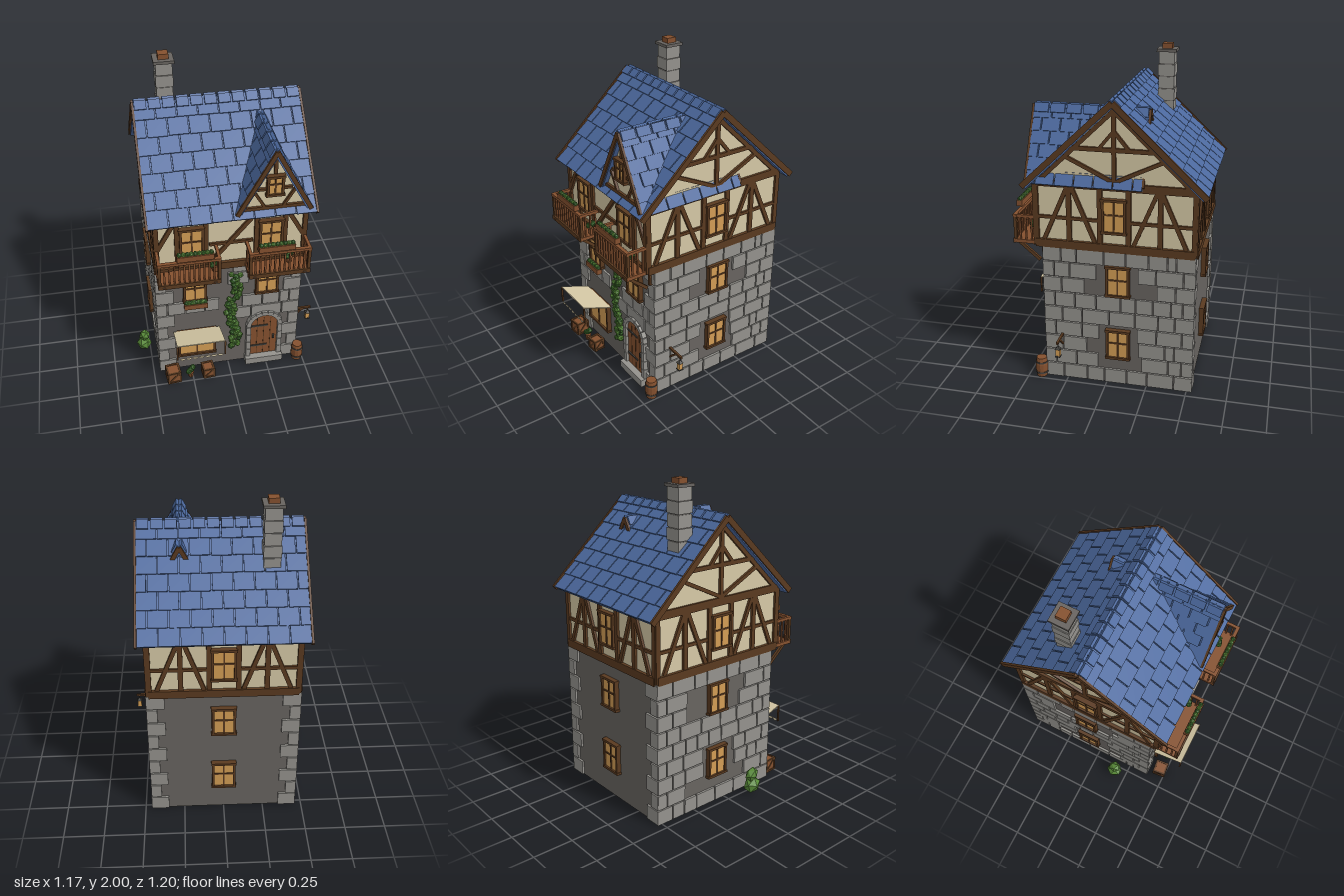
import * as THREE from 'three';

const mat = (name, color) => Object.assign(new THREE.MeshStandardMaterial({ color, flatShading: true }), { name });
const stone = mat('stone', 0x94928d), mortar = mat('mortar', 0x686460), plaster = mat('plaster', 0xd6c9a6);
const timber = mat('timber', 0x5a3a20), wood = mat('wood', 0x85512f), tile = mat('roof tile', 0x4c699e);
const glass = mat('lit glass', 0xd39d55), leaf = mat('leaf', 0x588a38), darkLeaf = mat('dark leaf', 0x3c6a2c);
const iron = mat('iron', 0x45433f);

let seed = 7;
const rand = () => (seed = (seed * 16807) % 2147483647) / 2147483647;

function add(p, name, geo, m, x = 0, y = 0, z = 0, rx = 0, ry = 0, rz = 0) {
  const o = new THREE.Mesh(geo, m);
  o.name = name;
  o.position.set(x, y, z);
  o.rotation.set(rx, ry, rz);
  p.add(o);
  return o;
}
const box = (p, name, m, w, h, d, x, y, z, rx, ry, rz) => add(p, name, new THREE.BoxGeometry(w, h, d), m, x, y, z, rx, ry, rz);
function group(p, name, x = 0, y = 0, z = 0, ry = 0) {
  const g = new THREE.Group();
  g.name = name;
  g.position.set(x, y, z);
  g.rotation.y = ry;
  p.add(g);
  return g;
}
// Straight timber between two points of a wall plane
function beam(p, x1, y1, x2, y2, t = 0.025, d = 0.03, z = 0, m = timber) {
  return box(p, 'beam', m, Math.hypot(x2 - x1, y2 - y1), t, d, (x1 + x2) / 2, (y1 + y2) / 2, z, 0, 0, Math.atan2(y2 - y1, x2 - x1));
}
function clump(p, name, m, r, x, y, z, sy = 1) {
  add(p, name, new THREE.IcosahedronGeometry(r, 0), m, x, y, z, rand(), rand() * 6, 0).scale.y = sy;
}

// Framed window with two by two panes, on a wall facing local +z
function windowAt(p, x, y, w, h, rows = 2) {
  const g = group(p, 'window', x, y, 0.01);
  box(g, 'glass', glass, w, h, 0.02, 0, 0, 0);
  for (const s of [-1, 1]) {
    box(g, 'jamb', timber, 0.015, h + 0.01, 0.04, s * w / 2, 0, 0);
    box(g, 'rail', timber, w + 0.025, 0.015, 0.045, 0, s * h / 2, 0);
  }
  box(g, 'mullion', timber, 0.01, h, 0.03, 0, 0, 0);
  if (rows > 1) box(g, 'crossbar', timber, w, 0.01, 0.03, 0, 0.01, 0);
}

// Courses of blocks with corner stones, left open around windows and doors
function stoneWall(p, width, openings, cover) {
  const H = width / 2 + 0.015, rows = 9, h = 0.9 / rows;
  for (let r = 0; r < rows; r++) {
    const y = (r + 0.5) * h, end = r % 2 ? 0.07 : 0.115;
    const block = (a, b) => box(p, 'stone block', stone, b - a - 0.008, h - 0.008, 0.026 + rand() * 0.004, (a + b) / 2, y, 0);
    block(-H, -H + end);
    block(H - end, H);
    for (let a = -H + end; a < H - end - 0.01;) {
      let b = a + 0.09 + rand() * 0.08;
      if (b > H - end - 0.05) b = H - end;
      const open = openings.some(([x, v, w, k]) => b > x - w / 2 - 0.03 && a < x + w / 2 + 0.03 && Math.abs(y - v) < k / 2 + h / 2);
      if (!open && rand() < cover) block(a, b);
      a = b;
    }
  }
}

// Half-timber framing around a single central window
function timberWall(p, H) {
  beam(p, -H, 0.915, H, 0.915, 0.05, 0.04);
  beam(p, -H, 1.285, H, 1.285, 0.03);
  const q = H * 0.57;
  for (const s of [-1, 1]) {
    for (const x of [H - 0.005, q, 0.085]) beam(p, s * x, 0.9, s * x, 1.29, 0.03);
    beam(p, s * H, 1.08, s * 0.09, 1.08, 0.02, 0.025);
    beam(p, s * (H - 0.05), 0.94, s * (q + 0.01), 1.27);
    beam(p, s * (q - 0.02), 1.27, s * 0.115, 0.94);
  }
  windowAt(p, 0, 1.115, 0.13, 0.2);
}

// Tiled slope running down local +z from the ridge at the origin
function tileSlope(p, len, width, rows, cols) {
  box(p, 'roof deck', tile, width, 0.02, len, 0, -0.012, len / 2);
  const w = width / cols, l = len / rows;
  for (let r = 0; r < rows; r++)
    for (let c = 0; c <= cols; c++) {
      const a = Math.max(-width / 2, -width / 2 + (c - (r % 2 ? 0.5 : 0)) * w);
      const b = Math.min(width / 2, -width / 2 + (c + (r % 2 ? 0.5 : 1)) * w);
      if (b - a > 0.02) box(p, 'tile', tile, b - a - 0.007, 0.012, l + 0.004 + rand() * 0.008, (a + b) / 2, 0.006, (r + 0.5) * l, -0.07 - rand() * 0.02);
    }
}
// Two tiled slopes with folded ridge caps; the ridge runs along local x
function gableRoof(p, angle, len, width, rows, cols, caps) {
  for (const s of [0, 1]) {
    const side = group(p, 'roof side', 0, 0, 0, s * Math.PI);
    const slope = group(side, 'roof slope');
    slope.rotation.x = angle;
    tileSlope(slope, len, width, rows, cols);
    for (let i = 0; i < caps; i++)
      box(slope, 'ridge cap', tile, width / caps - 0.012, 0.014, 0.055, (i + 0.5) * width / caps - width / 2, 0.016, 0.022);
  }
}

function pottedPlant(p, x, y, z) {
  add(p, 'plant pot', new THREE.CylinderGeometry(0.022, 0.016, 0.04, 8), wood, x, y + 0.02, z);
  for (const [a, b, c] of [[0, 0.06, 0], [-0.014, 0.05, 0.006], [0.014, 0.075, -0.005]]) clump(p, 'plant', darkLeaf, 0.021, x + a, y + b, z + c);
}
function planter(p, x, y, z, w) {
  box(p, 'planter', wood, w, 0.036, 0.035, x, y, z);
  for (let i = 0; i < 9; i++) clump(p, 'planter leaves', i % 2 ? leaf : darkLeaf, 0.016, x + (i / 8 - 0.5) * (w - 0.03), y + 0.024, z);
}

function balcony(p, x) {
  const g = group(p, 'balcony', x, 0, 0), w = 0.37;
  box(g, 'balcony floor', wood, w, 0.022, 0.15, 0, 0.91, 0.49);
  box(g, 'floor edge', timber, w, 0.03, 0.012, 0, 0.91, 0.564);
  box(g, 'front handrail', wood, w, 0.018, 0.022, 0, 1.07, 0.555);
  for (let i = 0; i < 13; i++) {
    const post = i % 12 === 0;
    box(g, 'baluster', post ? timber : wood, post ? 0.018 : 0.01, 0.15, post ? 0.018 : 0.01, (i / 12 - 0.5) * (w - 0.02), 0.99, 0.555);
  }
  for (const s of [-1, 1]) {
    box(g, 'side handrail', wood, 0.018, 0.018, 0.13, s * 0.175, 1.07, 0.49);
    for (const z of [0.455, 0.49, 0.525]) box(g, 'side baluster', wood, 0.01, 0.15, 0.01, s * 0.175, 0.99, z);
    box(g, 'bracket', timber, 0.018, 0.2, 0.02, s * 0.15, 0.85, 0.49, 0.86);
    box(g, 'bracket post', timber, 0.02, 0.11, 0.02, s * 0.15, 0.85, 0.39);
  }
  planter(g, x < 0 ? 0.035 : -0.025, 1.11, 0.56, 0.215);
  pottedPlant(g, x < 0 ? 0.16 : 0.075, 0.92, 0.48);
}

function crate(p, x, s) {
  const g = group(p, 'crate', x, s / 2, 0.46, 0.1);
  box(g, 'crate body', wood, s - 0.01, s - 0.01, s - 0.01, 0, 0, 0);
  for (let k = 0; k < 4; k++) {
    const f = group(g, 'crate side', 0, 0, 0, k * Math.PI / 2);
    for (const t of [-1, 1]) {
      box(f, 'slat', timber, s, 0.012, 0.012, 0, t * (s / 2 - 0.006), s / 2 - 0.006);
      box(f, 'slat', timber, 0.012, s, 0.012, t * (s / 2 - 0.006), 0, s / 2 - 0.006);
    }
    beam(f, -s / 2 + 0.01, -s / 2 + 0.01, s / 2 - 0.01, s / 2 - 0.01, 0.012, 0.008, s / 2 - 0.006);
  }
}

export function createModel() {
  const model = new THREE.Group();
  model.name = 'town house';

  // Stone ground storeys
  box(model, 'stone core', mortar, 0.89, 0.9, 0.895, 0, 0.45, -0.0725);
  const pair = [[0, 0.28, 0.13, 0.185], [0, 0.705, 0.13, 0.185]];
  const front = group(model, 'front stone wall', 0, 0, 0.375);
  const frontOpenings = [[-0.215, 0.705, 0.13, 0.18], [0.24, 0.705, 0.13, 0.18]];
  stoneWall(front, 0.89, [...frontOpenings, [-0.21, 0.23, 0.24, 0.34], [0.235, 0.2, 0.26, 0.4]], 0.6);
  frontOpenings.forEach(o => windowAt(front, ...o));
  windowAt(front, -0.21, 0.24, 0.23, 0.2, 1);
  for (const [x, z, ry, w, c] of [[0.445, -0.0725, Math.PI / 2, 0.895, 1], [-0.445, -0.0725, -Math.PI / 2, 0.895, 1], [0, -0.52, Math.PI, 0.89, 0]]) {
    const g = group(model, 'stone wall', x, 0, z, ry);
    stoneWall(g, w, pair, c);
    pair.forEach(o => windowAt(g, ...o));
  }

  // Plastered storey and gables
  const house = new THREE.Shape([[-0.475, 0.895], [0.475, 0.895], [0.475, 1.29], [0, 1.755], [-0.475, 1.29]].map(a => new THREE.Vector2(...a)));
  add(model, 'plaster storey', new THREE.ExtrudeGeometry(house, { depth: 0.88, bevelEnabled: false }), plaster, -0.44, 0, -0.05, 0, Math.PI / 2);
  timberWall(group(model, 'back framing', 0, 0, -0.525, Math.PI), 0.44);
  for (const s of [-1, 1]) {
    const g = group(model, 'gable framing', s * 0.44, 0, -0.05, s * Math.PI / 2);
    timberWall(g, 0.475);
    beam(g, 0, 1.3, 0, 1.75, 0.025);
    beam(g, -0.26, 1.51, 0.26, 1.51, 0.025);
    beam(g, -0.47, 1.305, 0.47, 1.305, 0.025);
    for (const t of [-1, 1]) {
      beam(g, 0, 1.32, t * 0.29, 1.46, 0.022);
      beam(g, t * 0.09, 1.51, 0, 1.62, 0.02);
      beam(g, 0, 1.735, t * 0.46, 1.29, 0.025, 0.03);
      beam(g, 0, 1.785, t * 0.54, 1.272, 0.035, 0.014, 0.051);
    }
  }
  const up = group(model, 'front framing', 0, 0, 0.425);
  beam(up, -0.44, 0.915, 0.44, 0.915, 0.05, 0.04);
  beam(up, -0.44, 1.285, 0.44, 1.285, 0.03);
  beam(up, 0.13, 1.26, -0.12, 0.95, 0.025);
  beam(up, -0.13, 1.08, 0.13, 1.08, 0.02, 0.025);
  for (const s of [-1, 1]) {
    for (const x of [0.44, 0.32, 0.15]) beam(up, s * x, 0.9, s * x, 1.29, 0.028);
    beam(up, s * 0.33, 1.27, s * 0.435, 1.08);
    windowAt(up, s * 0.235, 1.115, 0.13, 0.2);
    balcony(model, s * 0.267);
  }

  // Main roof
  gableRoof(group(model, 'main roof', 0, 1.785, -0.05), 0.766, 0.735, 0.975, 7, 8, 12);

  // Dormer
  const dormer = group(model, 'dormer', 0.24, 0, 0);
  gableRoof(group(dormer, 'dormer roof', 0, 1.7, 0.1275, Math.PI / 2), 1.078, 0.47, 0.69, 6, 6, 7);
  const tri = new THREE.Shape([[-0.2, 1.29], [0.2, 1.29], [0, 1.67]].map(a => new THREE.Vector2(...a)));
  add(dormer, 'dormer front', new THREE.ExtrudeGeometry(tri, { depth: 0.3, bevelEnabled: false }), plaster, 0, 0, 0.145);
  const face = group(dormer, 'dormer framing', 0, 0, 0.445);
  beam(face, -0.19, 1.32, 0.19, 1.32, 0.025);
  beam(face, -0.1, 1.45, 0.1, 1.45, 0.016);
  beam(face, 0, 1.55, 0, 1.67, 0.02);
  windowAt(face, 0, 1.475, 0.085, 0.12);
  for (const s of [-1, 1]) {
    beam(face, s * 0.05, 1.32, s * 0.12, 1.44, 0.016);
    for (const z of [0.03, -0.665]) beam(face, 0, 1.7, s * 0.215, 1.3, 0.025, 0.014, z);
  }

  // Chimney
  const chimney = group(model, 'chimney', -0.285, 0, -0.225);
  box(chimney, 'chimney core', mortar, 0.09, 0.5, 0.09, 0, 1.7, 0);
  for (let i = 0; i < 6; i++) box(chimney, 'chimney course', stone, 0.104 - (i % 2) * 0.006, 0.07, 0.104 - (i % 2) * 0.006, 0, 1.535 + i * 0.076, 0);
  box(chimney, 'chimney cap', mortar, 0.122, 0.018, 0.122, 0, 1.96, 0);
  box(chimney, 'chimney pot', wood, 0.062, 0.034, 0.062, 0, 1.983, 0);

  // Arched door
  const door = group(model, 'door', 0.235, 0, 0.375);
  const arch = new THREE.Shape();
  arch.moveTo(-0.088, 0.05).lineTo(0.088, 0.05).lineTo(0.088, 0.32).absarc(0, 0.32, 0.088, 0, Math.PI, false);
  add(door, 'door panel', new THREE.ExtrudeGeometry(arch, { depth: 0.012, bevelEnabled: false, curveSegments: 8 }), wood);
  for (const x of [-0.044, 0, 0.044]) box(door, 'plank gap', timber, 0.005, 0.32, 0.004, x, 0.215, 0.012);
  for (const y of [0.13, 0.31]) box(door, 'hinge', iron, 0.11, 0.012, 0.006, -0.03, y, 0.015);
  box(door, 'handle', iron, 0.012, 0.03, 0.016, 0.065, 0.2, 0.016);
  box(door, 'doorstep', stone, 0.25, 0.05, 0.07, 0, 0.025, 0.02);
  for (let i = 0; i < 9; i++) {
    const a = (i + 0.5) / 9 * Math.PI;
    box(door, 'arch stone', stone, 0.03, 0.036, 0.04, Math.cos(a) * 0.104, 0.32 + Math.sin(a) * 0.104, 0.01, 0, 0, a);
  }
  for (const s of [-1, 1]) for (let i = 0; i < 4; i++) box(door, 'jamb stone', stone, 0.03, 0.063, 0.04, s * 0.104, 0.083 + i * 0.067, 0.01);

  // Awning that tips up over the shop window
  const awning = group(model, 'awning', -0.21, 0, 0);
  box(awning, 'awning cloth', plaster, 0.3, 0.006, 0.213, 0, 0.387, 0.488, -0.359);
  for (const s of [-1, 1]) box(awning, 'awning post', timber, 0.01, 0.11, 0.01, s * 0.15, 0.365, 0.585);
  for (let i = 0; i < 7; i++) add(awning, 'scallop', new THREE.CylinderGeometry(0.019, 0.019, 0.006, 8, 1, false, -Math.PI / 2, Math.PI), plaster, (i - 3) * 0.04, 0.322, 0.59, Math.PI / 2);

  // Ivy and greenery
  for (let i = 0; i < 60; i++) {
    const t = i / 59;
    clump(model, 'ivy leaf', i % 3 ? leaf : darkLeaf, 0.016 + rand() * 0.008, 0.03 + Math.sin(t * 9) * 0.016 + (rand() - 0.5) * 0.06, 0.16 + t * 0.63, 0.393);
  }
  planter(model, -0.215, 0.592, 0.415, 0.145);
  clump(model, 'bush', leaf, 0.05, -0.54, 0.06, 0.165, 1.2);
  clump(model, 'bush top', leaf, 0.038, -0.535, 0.13, 0.165, 1.3);

  // Street goods
  crate(model, -0.38, 0.09);
  crate(model, -0.15, 0.078);
  pottedPlant(model, -0.265, 0, 0.46);
  const barrel = group(model, 'barrel', 0.462, 0, 0.42);
  const prof = [[0, 0], [0.032, 0], [0.039, 0.045], [0.039, 0.085], [0.032, 0.13], [0, 0.13]].map(a => new THREE.Vector2(...a));
  add(barrel, 'barrel body', new THREE.LatheGeometry(prof, 12), wood);
  for (const y of [0.03, 0.1]) add(barrel, 'barrel hoop', new THREE.CylinderGeometry(0.0395, 0.0395, 0.01, 12), iron, 0, y, 0);

  // Hanging lantern
  const lantern = group(model, 'lantern', 0, 0, 0.277);
  beam(lantern, 0.455, 0.31, 0.58, 0.31, 0.014, 0.014);
  beam(lantern, 0.455, 0.24, 0.525, 0.305, 0.012, 0.012);
  box(lantern, 'lantern chain', iron, 0.005, 0.04, 0.005, 0.562, 0.29, 0);
  add(lantern, 'lantern roof', new THREE.ConeGeometry(0.024, 0.02, 4), iron, 0.562, 0.275, 0, 0, Math.PI / 4);
  box(lantern, 'lantern glass', glass, 0.026, 0.045, 0.026, 0.562, 0.242, 0);
  box(lantern, 'lantern base', iron, 0.032, 0.008, 0.032, 0.562, 0.216, 0);
  return model;
}
